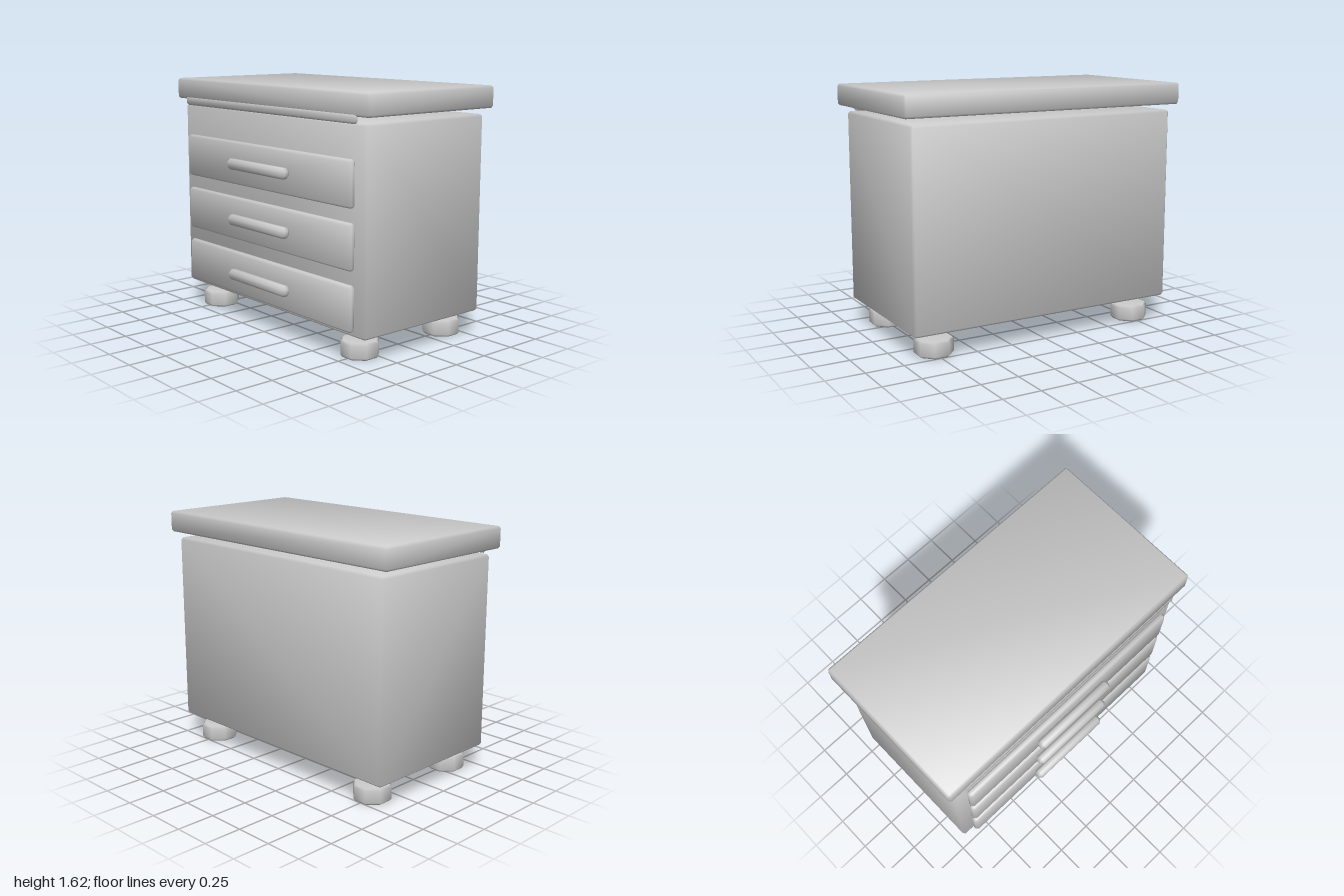
import * as THREE from 'three';
import { ConvexGeometry } from 'three/addons/geometries/ConvexGeometry.js';

const material = new THREE.MeshStandardMaterial({ color: 0xcccccc });

// Box with a single chamfer b on all edges and softly pillowed normals.
function chamferBox(w, h, d, b) {
  const half = [w / 2, h / 2, d / 2];
  const points = [];
  for (let axis = 0; axis < 3; axis++) {
    for (const sx of [-1, 1]) for (const sy of [-1, 1]) for (const sz of [-1, 1]) {
      const c = [sx, sy, sz].map((s, i) => s * (half[i] - (i === axis ? 0 : b)));
      points.push(new THREE.Vector3(...c));
    }
  }
  const geometry = new ConvexGeometry(points);
  const { position, normal } = geometry.attributes;
  const n = new THREE.Vector3();
  for (let i = 0; i < position.count; i++) {
    const c = [position.getX(i), position.getY(i), position.getZ(i)];
    n.set(...c.map((v, k) => Math.sign(v) * (Math.abs(v) > half[k] - b / 2 ? 1 : 0.3))).normalize();
    normal.setXYZ(i, n.x, n.y, n.z);
  }
  return geometry;
}

export function createModel() {
  const model = new THREE.Group();
  model.name = 'chestOfDrawers';

  function add(parent, name, geometry, x, y, z) {
    const mesh = new THREE.Mesh(geometry, material);
    mesh.name = name;
    mesh.position.set(x, y, z);
    parent.add(mesh);
  }

  // Carcass, overhanging top and the trim under its front edge
  add(model, 'body', chamferBox(1.89, 1.28, 1.0, 0.015), 0, 0.805, -0.035);
  add(model, 'top', chamferBox(2, 0.14, 1.07, 0.014), 0, 1.555, -0.035);
  add(model, 'frontTrim', chamferBox(1.78, 0.062, 0.033, 0.014), 0, 1.473, 0.486);

  // Three drawer fronts, each with a bar handle
  const drawerGeometry = chamferBox(1.72, 0.286, 0.05, 0.015);
  const handleGeometry = chamferBox(0.61, 0.07, 0.066, 0.02);
  for (let i = 0; i < 3; i++) {
    const drawer = new THREE.Group();
    drawer.name = `drawer${i + 1}`;
    drawer.position.y = 0.343 + i * 0.375;
    add(drawer, 'drawerFront', drawerGeometry, 0, 0, 0.486);
    add(drawer, 'handle', handleGeometry, 0, 0, 0.542);
    model.add(drawer);
  }

  // Four eight-sided feet with chamfered rims, flats along the axes
  const r = 0.126;
  const profile = [[0, 0], [r - 0.015, 0], [r, 0.015], [r, 0.093], [r - 0.015, 0.108], [0, 0.108]]
    .map(([x, y]) => new THREE.Vector2(x, y));
  const footGeometry = new THREE.LatheGeometry(profile, 8, Math.PI / 8);
  for (const [side, x] of [['Left', 0.75], ['Right', -0.75]]) {
    add(model, `front${side}Foot`, footGeometry, x, 0, 0.325);
    add(model, `back${side}Foot`, footGeometry, x, 0, -0.393);
  }

  return model;
}
